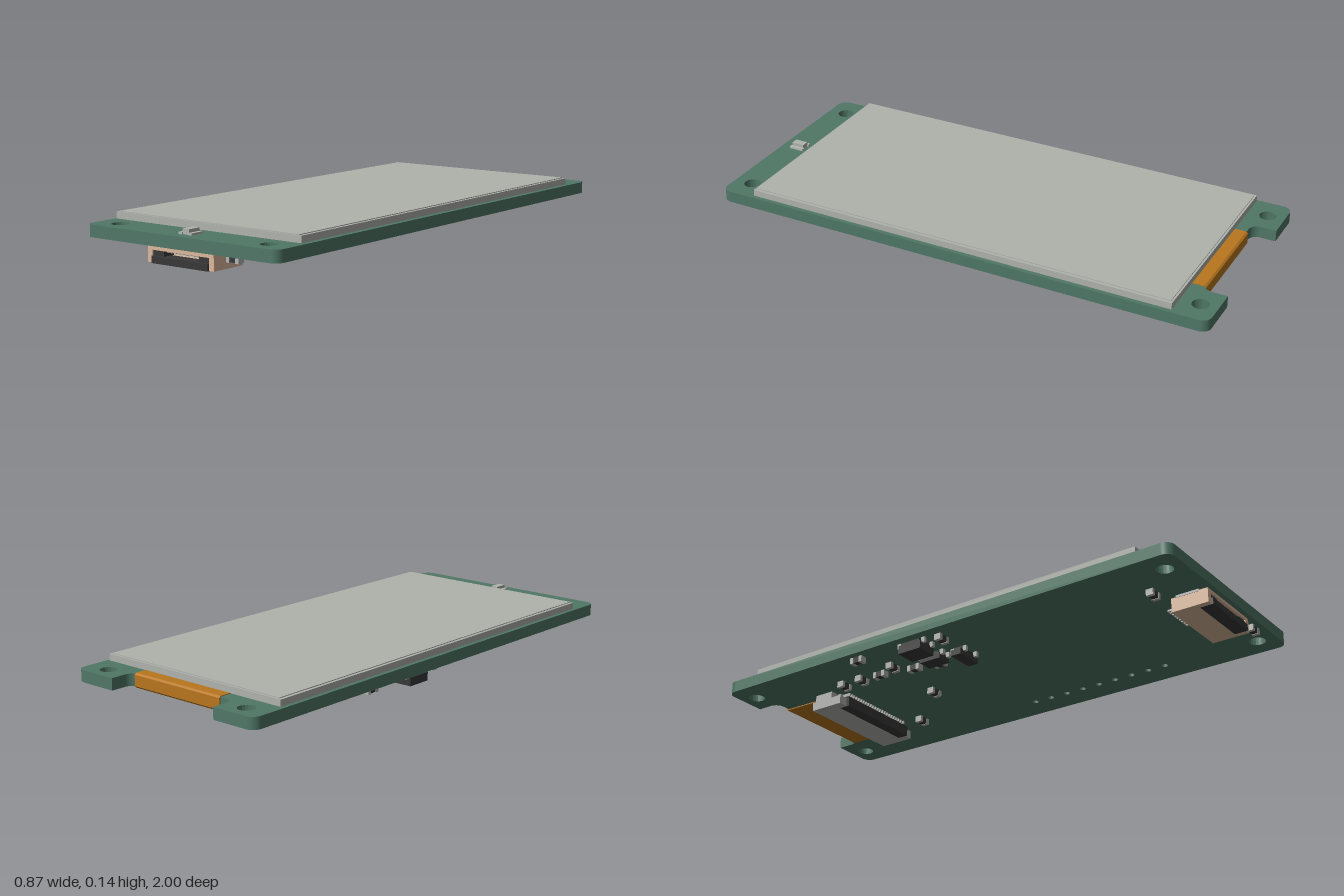
import * as THREE from 'three';

const mat = (name, color) => {
  const m = new THREE.MeshStandardMaterial({ color });
  m.name = name;
  return m;
};

export function createModel() {
  const root = new THREE.Group();
  root.name = 'displayModule';
  const green = mat('boardGreen', 0x4f7766);
  const grey = mat('panelGrey', 0xb0b2ac);
  const silver = mat('metalSilver', 0xb4b6b2);
  const black = mat('plasticBlack', 0x383838);
  const amber = mat('flexAmber', 0xb8761e);
  const beige = mat('connectorBeige', 0xdcb89c);
  const cream = mat('cavityCream', 0xd2c8aa);

  const add = (name, geo, m, parent = root) => {
    const mesh = new THREE.Mesh(geo, m);
    mesh.name = name;
    parent.add(mesh);
    return mesh;
  };
  // box given by its limits on each axis
  const box = (name, m, x0, x1, y0, y1, z0, z1, parent = root) => {
    const mesh = add(name, new THREE.BoxGeometry(x1 - x0, y1 - y0, z1 - z0), m, parent);
    mesh.position.set((x0 + x1) / 2, (y0 + y1) / 2, (z0 + z1) / 2);
    return mesh;
  };
  const group = (name, x = 0, z = 0) => {
    const g = new THREE.Group();
    g.name = name;
    g.position.set(x, 0, z);
    root.add(g);
    return g;
  };

  const Y0 = 0.062, Y1 = 0.107; // board underside and top

  // Circuit board: rounded outline with a notch at the back (shape y = -z)
  const W = 0.435, R = 0.035, N = 0.25, D = 0.905;
  const s = new THREE.Shape();
  s.moveTo(-W + R, -1);
  s.lineTo(W - R, -1);
  s.absarc(W - R, -1 + R, R, -Math.PI / 2, 0);
  s.lineTo(W, 1 - R);
  s.absarc(W - R, 1 - R, R, 0, Math.PI / 2);
  s.lineTo(N, 1);
  s.lineTo(N, D + R);
  s.absarc(N - R, D + R, R, 0, -Math.PI / 2, true);
  s.lineTo(-N + R, D);
  s.absarc(-N + R, D + R, R, -Math.PI / 2, -Math.PI, true);
  s.lineTo(-N, 1);
  s.lineTo(-W + R, 1);
  s.absarc(-W + R, 1 - R, R, Math.PI / 2, Math.PI);
  s.lineTo(-W, -1 + R);
  s.absarc(-W + R, -1 + R, R, Math.PI, Math.PI * 1.5);
  const hole = (x, z, r) => {
    const p = new THREE.Path();
    p.absarc(x, -z, r, 0, Math.PI * 2, true);
    s.holes.push(p);
  };
  for (const x of [-0.34, 0.34]) for (const z of [-0.935, 0.925]) hole(x, z, 0.032);
  for (let i = 0; i < 9; i++) hole(0.327, 0.54 - i * 0.074, 0.013);
  const boardGeo = new THREE.ExtrudeGeometry(s, { depth: Y1 - Y0, bevelEnabled: false, curveSegments: 10 });
  boardGeo.rotateX(-Math.PI / 2).translate(0, Y0, 0);
  add('circuitBoard', boardGeo, green);

  // Display panel: glass slab with a thin top sheet
  box('panelGlass', grey, -0.423, 0.421, 0.109, 0.134, -0.86, 0.86);
  box('panelSheet', grey, -0.411, 0.409, 0.134, 0.137, -0.852, 0.855);

  // Flexible cable folded round the back edge
  const outline = [[-0.80, 0.110], [-0.905, 0.110], [-0.912, 0.104], [-0.912, 0.062], [-0.905, 0.055],
    [-0.73, 0.053], [-0.73, 0.057], [-0.90, 0.059], [-0.907, 0.064], [-0.907, 0.102], [-0.902, 0.1075], [-0.80, 0.1075]];
  const flex = new THREE.Shape(outline.map(([z, y]) => new THREE.Vector2(z, y)));
  const flexGeo = new THREE.ExtrudeGeometry(flex, { depth: 0.42, bevelEnabled: false });
  flexGeo.rotateY(-Math.PI / 2).translate(0.23, 0, 0);
  add('flexCable', flexGeo, amber);

  // Cable socket: grey body, black latch, contact legs
  const socket = group('cableSocket');
  box('socketBody', silver, -0.18, 0.19, 0.002, Y0, -0.745, -0.635, socket);
  for (const [a, b] of [[-0.218, -0.18], [0.19, 0.228]]) {
    box('socketEnd', silver, a, b, 0.002, 0.036, -0.745, -0.605, socket);
    box('socketFoot', silver, a, b, 0.036, Y0, -0.73, -0.65, socket);
  }
  box('socketLatch', black, -0.18, 0.19, 0, 0.04, -0.635, -0.592, socket);
  for (let i = 0; i < 24; i++) {
    const x = -0.167 + i * 0.0148;
    box('socketContact', silver, x, x + 0.006, 0.05, Y0, -0.635, -0.6, socket);
  }

  // Wire connector at the front, open towards +z
  const conn = group('wireConnector');
  box('connectorBack', beige, -0.15, 0.15, 0.002, 0.056, 0.84, 0.9, conn);
  box('connectorTop', beige, -0.15, 0.15, 0.046, 0.058, 0.9, 0.985, conn);
  for (const k of [-1, 1]) {
    const [a, b] = k < 0 ? [-0.15, -0.128] : [0.128, 0.15];
    box('connectorSide', beige, a, b, 0.002, 0.046, 0.9, 0.985, conn);
    box('connectorTab', silver, k < 0 ? -0.152 : 0.1, k < 0 ? -0.1 : 0.152, 0.053, Y0, 0.86, 0.95, conn);
    box('plugShoulder', black, k < 0 ? -0.128 : 0.08, k < 0 ? -0.08 : 0.128, 0.026, 0.044, 0.9, 0.98, conn);
  }
  box('plugBar', black, -0.128, 0.128, 0.001, 0.026, 0.94, 0.992, conn);
  box('connectorFloor', beige, -0.128, 0.128, 0.002, 0.026, 0.9, 0.94, conn);
  box('connectorCavity', cream, -0.08, 0.08, 0.026, 0.046, 0.9, 0.93, conn);
  for (let i = 0; i < 9; i++) {
    const x = -0.066 + i * 0.0165;
    box('contactPin', silver, x - 0.003, x + 0.003, 0.04, 0.046, 0.93, 0.975, conn);
    box('solderLeg', silver, x - 0.005, x + 0.005, 0.03, Y0, 0.815, 0.84, conn);
    box('solderToe', silver, x - 0.005, x + 0.005, 0.055, Y0, 0.78, 0.815, conn);
  }

  // Small two-ended parts on the underside: x, z, turned along z
  const chips = [[0, -0.31, 0], [0.196, -0.52, 0], [-0.247, -0.56, 0], [-0.25, -0.47, 0], [-0.247, -0.38, 1],
    [-0.274, -0.3, 0], [-0.22, -0.235, 1], [-0.395, -0.37, 1], [-0.365, 0, 0], [-0.222, 0.81, 0], [0.225, 0.965, 0],
    [-0.2, -0.13, 1]];
  for (const [x, z, turn] of chips) {
    const g = group('chipPart', x, z);
    if (turn) g.rotation.y = Math.PI / 2;
    box('chipBody', black, -0.014, 0.014, 0.04, Y0, -0.012, 0.012, g);
    for (const k of [-0.02, 0.02]) box('chipEnd', silver, k - 0.007, k + 0.007, 0.038, Y0, -0.014, 0.014, g);
  }

  // Legged packages on the underside: x, z, half width, half length, bottom height
  const packages = [[-0.368, -0.115, 0.042, 0.05, 0.016], [-0.255, -0.115, 0.03, 0.045, 0.026], [-0.215, -0.005, 0.055, 0.022, 0.025]];
  for (const [x, z, w, l, y] of packages) {
    const g = group('legPackage', x, z);
    box('packageBody', black, -w, w, y, 0.048, -l, l, g);
    box('packageBase', black, -w * 0.8, w * 0.8, 0.048, 0.06, -l * 0.8, l * 0.8, g);
    for (const k of [-1, 1]) for (const t of [-0.6, 0.6]) {
      const c = k * (l + 0.005);
      box('packageLeg', silver, t * w - 0.007, t * w + 0.007, 0.042, Y0, c - 0.008, c + 0.008, g);
    }
  }

  // Indicator lamp on top at the front
  const lamp = group('indicatorLamp', 0, 0.93);
  box('lampBase', silver, -0.028, 0.028, Y1, 0.114, -0.024, 0.024, lamp);
  for (const k of [-0.022, 0.022]) box('lampTerminal', silver, k - 0.007, k + 0.007, Y1, 0.115, -0.03, 0.03, lamp);
  box('lampLens', grey, -0.015, 0.015, 0.114, 0.127, -0.026, 0.026, lamp);

  return root;
}
